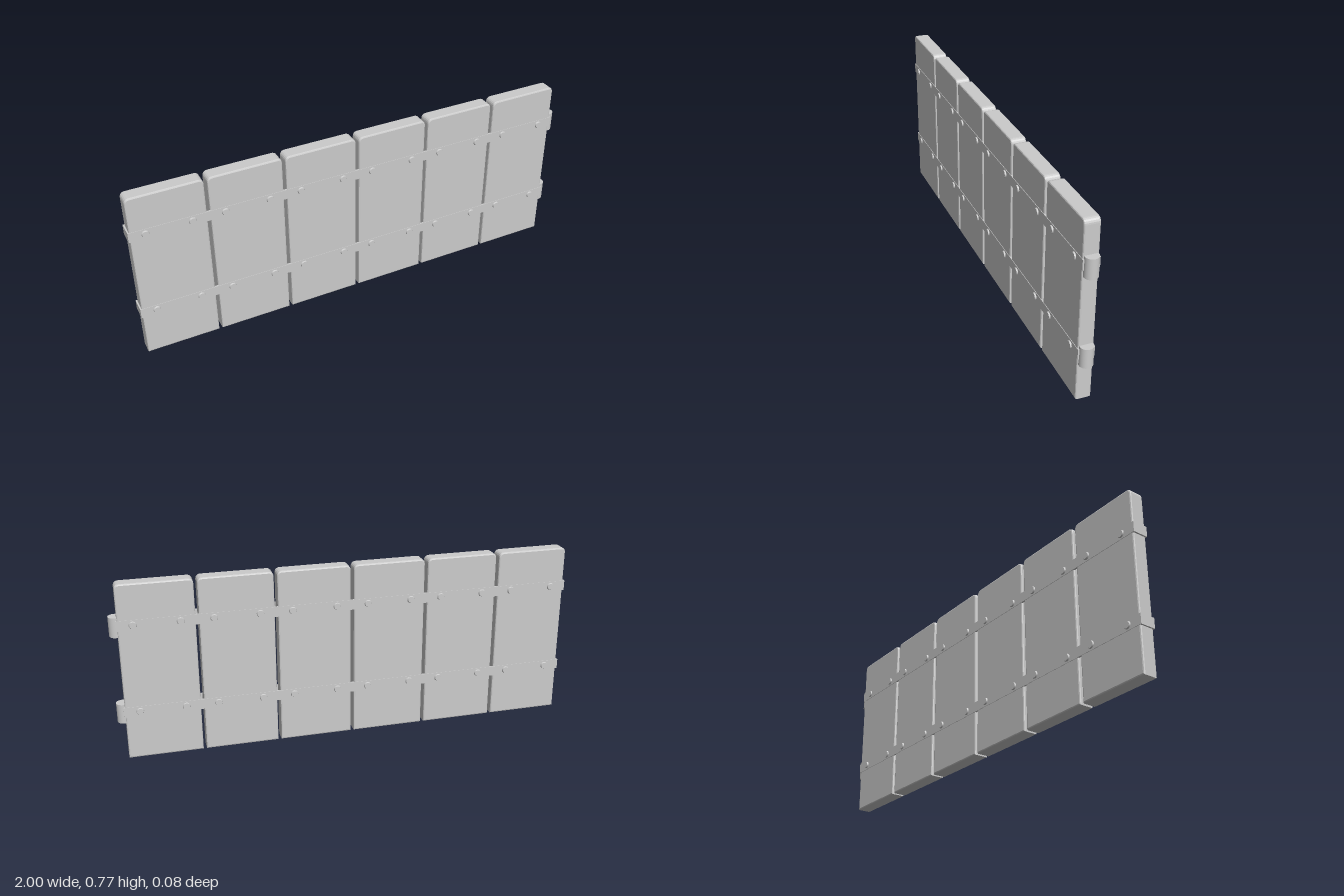
import * as THREE from 'three';

const material = new THREE.MeshStandardMaterial({ color: 0xcccccc });

function addMesh(parent, name, geometry, x, y, z) {
  const mesh = new THREE.Mesh(geometry, material);
  mesh.name = name;
  mesh.position.set(x, y, z);
  parent.add(mesh);
  return mesh;
}

// Upright board with rounded top corners and softened edges
function plankGeometry(width, height, depth) {
  const bevel = 0.006, r = 0.016;
  const w = width / 2 - bevel, bottom = bevel, top = height - bevel;
  const shape = new THREE.Shape();
  shape.moveTo(-w, bottom);
  shape.lineTo(w, bottom);
  shape.lineTo(w, top - r);
  shape.quadraticCurveTo(w, top, w - r, top);
  shape.lineTo(-w + r, top);
  shape.quadraticCurveTo(-w, top, -w, top - r);
  shape.closePath();
  const geometry = new THREE.ExtrudeGeometry(shape, {
    depth: depth - 2 * bevel, bevelEnabled: true, bevelThickness: bevel,
    bevelSize: bevel, bevelSegments: 2, curveSegments: 5,
  });
  return geometry.translate(0, 0, -depth / 2 + bevel);
}

export function createModel() {
  const model = new THREE.Group();
  model.name = 'plankGate';

  const count = 6, pitch = 0.329, firstX = -0.836;
  const strapHeights = [0.214, 0.598];
  const plank = plankGeometry(0.315, 0.773, 0.064);
  const rivet = new THREE.CylinderGeometry(0.014, 0.017, 0.008, 12).rotateX(Math.PI / 2);
  const rivetBack = rivet.clone().rotateY(Math.PI);

  // Planks
  for (let i = 0; i < count; i++) {
    addMesh(model, 'plank', plank, firstX + i * pitch, 0, 0);
  }

  for (const y of strapHeights) {
    const strap = new THREE.Group();
    strap.name = 'strap';
    model.add(strap);

    // Flat bars on both faces, joined around the free end
    for (const side of [1, -1]) {
      addMesh(strap, 'strapBar', new THREE.BoxGeometry(1.972, 0.044, 0.008), -0.014, y, side * 0.03);
      // Two rivets per plank
      for (let i = 0; i < count; i++) {
        for (const dx of [-0.096, 0.096]) {
          addMesh(strap, 'rivet', side > 0 ? rivet : rivetBack, firstX + i * pitch + dx, y, side * 0.036);
        }
      }
    }
    addMesh(strap, 'strapEnd', new THREE.BoxGeometry(0.008, 0.044, 0.068), -0.996, y, 0);

    // Hinge barrel on the hanging edge
    addMesh(strap, 'hingeBarrel', new THREE.CylinderGeometry(0.028, 0.028, 0.085, 24), 0.972, y - 0.0085, 0);
  }
  return model;
}
